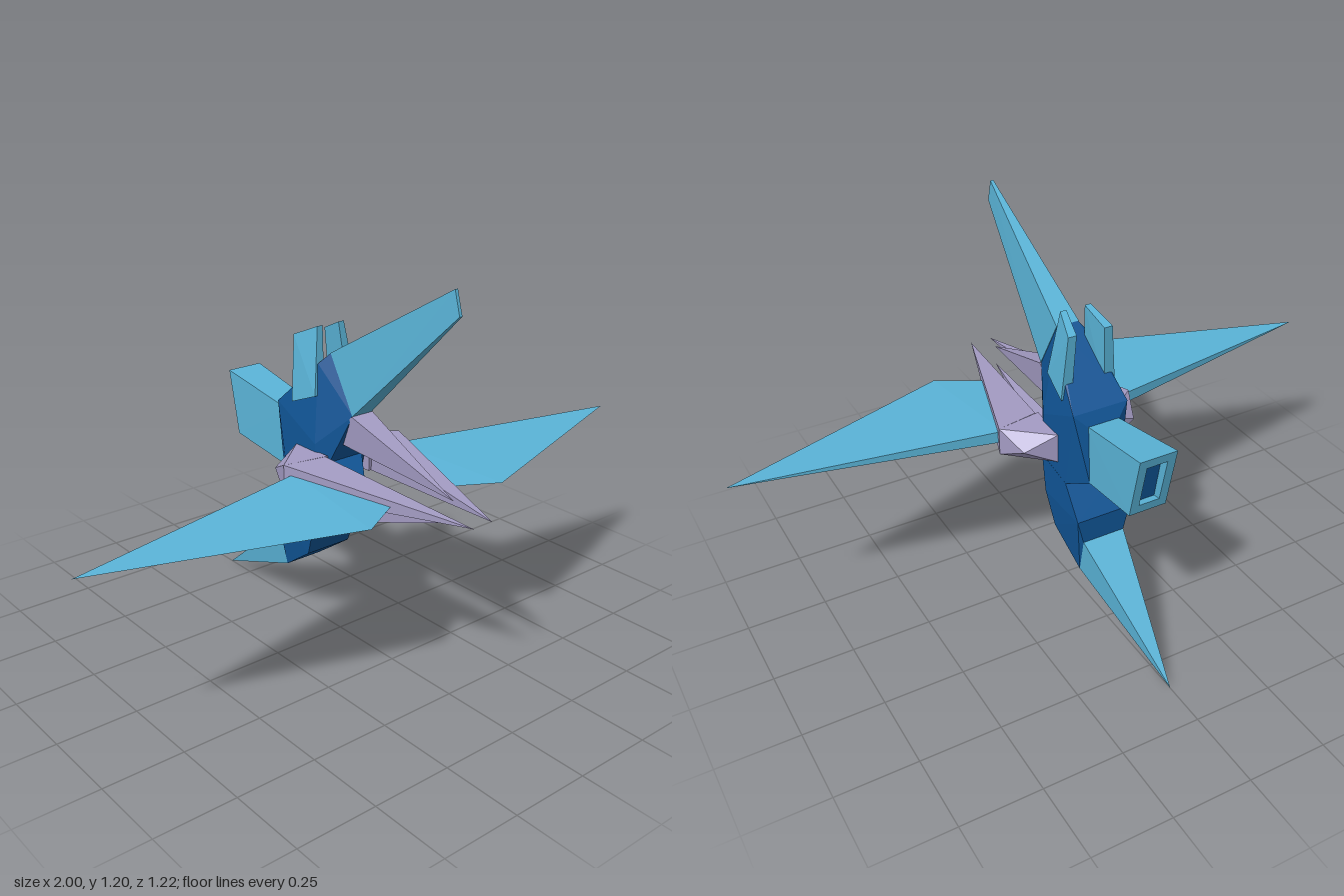
import * as THREE from 'three';
import { ConvexGeometry } from 'three/addons/geometries/ConvexGeometry.js';

const material = (name, color) => Object.assign(new THREE.MeshStandardMaterial({ color }), { name });

export function createModel() {
  const model = new THREE.Group();
  model.name = 'starfighter';
  const teal = material('teal panels', 0x5ab4d8);
  const navy = material('navy hull', 0x105596);
  const lavender = material('lavender spikes', 0xa49cc4);

  // Flat-sided solid around a set of corners
  const solid = (name, mat, corners) => {
    const mesh = new THREE.Mesh(new ConvexGeometry(corners.map((c) => new THREE.Vector3(...c))), mat);
    mesh.name = name;
    model.add(mesh);
    return mesh;
  };
  // Corners given as [half width, y, z], mirrored across the centre plane
  const both = (list) => list.flatMap(([x, y, z]) => [[x, y, z], [-x, y, z]]);

  // Hull: upper block with tapered nose and bevelled back, and lower block
  solid('upperHull', navy, both([
    [0.035, 0.755, 0.1], [0.035, 0.925, 0], [0.06, 0.89, -0.03], [0.075, 0.8, -0.125],
    [0.09, 0.74, -0.19], [0.05, 0.7, -0.21], [0.05, 0.51, -0.22],
    [0.09, 0.48, -0.145], [0.09, 0.5, -0.01], [0.09, 0.65, -0.01], [0.035, 0.66, 0.01],
  ]));
  solid('lowerHull', navy, both([
    [0.09, 0.5, 0], [0.09, 0.48, -0.145], [0.09, 0.375, -0.02], [0.09, 0.38, -0.22],
    [0.08, 0.265, -0.06], [0.07, 0.3, -0.22], [0.065, 0.175, -0.19],
  ]));
  solid('noseCore', navy, [
    ...both([[0.085, 0.635, -0.01], [0.085, 0.52, 0]]), [0, 0.525, 0.12],
  ]);

  // Front fin and lower tail
  solid('frontFin', teal, both([
    [0.037, 0.755, 0.1], [0.037, 0.925, 0], [0.005, 1.2, 0.47], [0.005, 1.13, 0.49],
  ]));
  solid('lowerTail', teal, [...both([[0.07, 0.3, -0.22], [0.065, 0.175, -0.19]]), [0, 0, -0.61]]);

  // Upper and lower front spikes
  solid('upperSpike', lavender, [
    ...both([[0.04, 0.755, 0.1], [0.04, 0.66, 0]]), [0, 0.61, 0.49],
  ]);
  solid('lowerSpike', lavender, [
    ...both([[0.04, 0.375, -0.02], [0.04, 0.495, 0.01]]), [0, 0.545, 0.49],
  ]);

  // Side spikes, pods, wings and upright fins
  for (const [side, s] of [['left', 1], ['right', -1]]) {
    const part = (name, mat, list) => solid(side + name, mat, list.map(([x, y, z]) => [x * s, y, z]));
    part('Spike', lavender, [
      [0.09, 0.535, 0.04], [0.09, 0.625, 0.04], [0.225, 0.535, 0.015], [0.225, 0.625, 0.015],
      [0.035, 0.578, 0.605],
    ]);
    part('Pod', lavender, [
      [0.08, 0.535, 0.04], [0.08, 0.625, 0.04], [0.225, 0.535, 0.015], [0.225, 0.625, 0.015],
      [0.19, 0.58, -0.075], [0.09, 0.53, -0.1], [0.09, 0.625, -0.1],
    ]);
    part('Wing', teal, [
      [0.2, 0.598, 0.035], [0.2, 0.56, 0.035], [0.1, 0.58, 0.35], [0.25, 0.58, 0.435], [1, 0.58, 0.185],
    ]);
    part('UprightFin', teal, [
      [0.05, 0.998, -0.045], [0.03, 0.998, -0.045], [0.072, 0.96, -0.13], [0.045, 0.96, -0.13],
      [0.09, 0.755, -0.12], [0.055, 0.755, -0.12], [0.08, 0.795, -0.02], [0.045, 0.795, -0.02],
    ]);
  }

  // Hollow exhaust: corner at angle step i, t along its length, k scaled towards its axis
  const duct = (i, t, kx, ky) => {
    const sx = [1, 1, -1, -1][i % 4], up = [1, -1, -1, 1][i % 4];
    const mix = THREE.MathUtils.lerp;
    return [
      sx * kx * mix(0.05, 0.06, t),
      mix(0.605, 0.6525, t) + up * ky * mix(0.095, 0.1025, t),
      mix(-0.2, -0.4725, t) - up * ky * mix(-0.005, 0.0225, t),
    ];
  };
  for (let i = 0; i < 4; i++) {
    solid('exhaustWall', teal, [i, i + 1].flatMap((c) => [0, 1].flatMap(
      (t) => [duct(c, t, 1, 1), duct(c, t, 0.55, 0.7)])));
  }
  solid('exhaustCore', navy, [0, 1, 2, 3].flatMap((c) => [0, 0.9].map((t) => duct(c, t, 0.57, 0.72))));

  return model;
}
